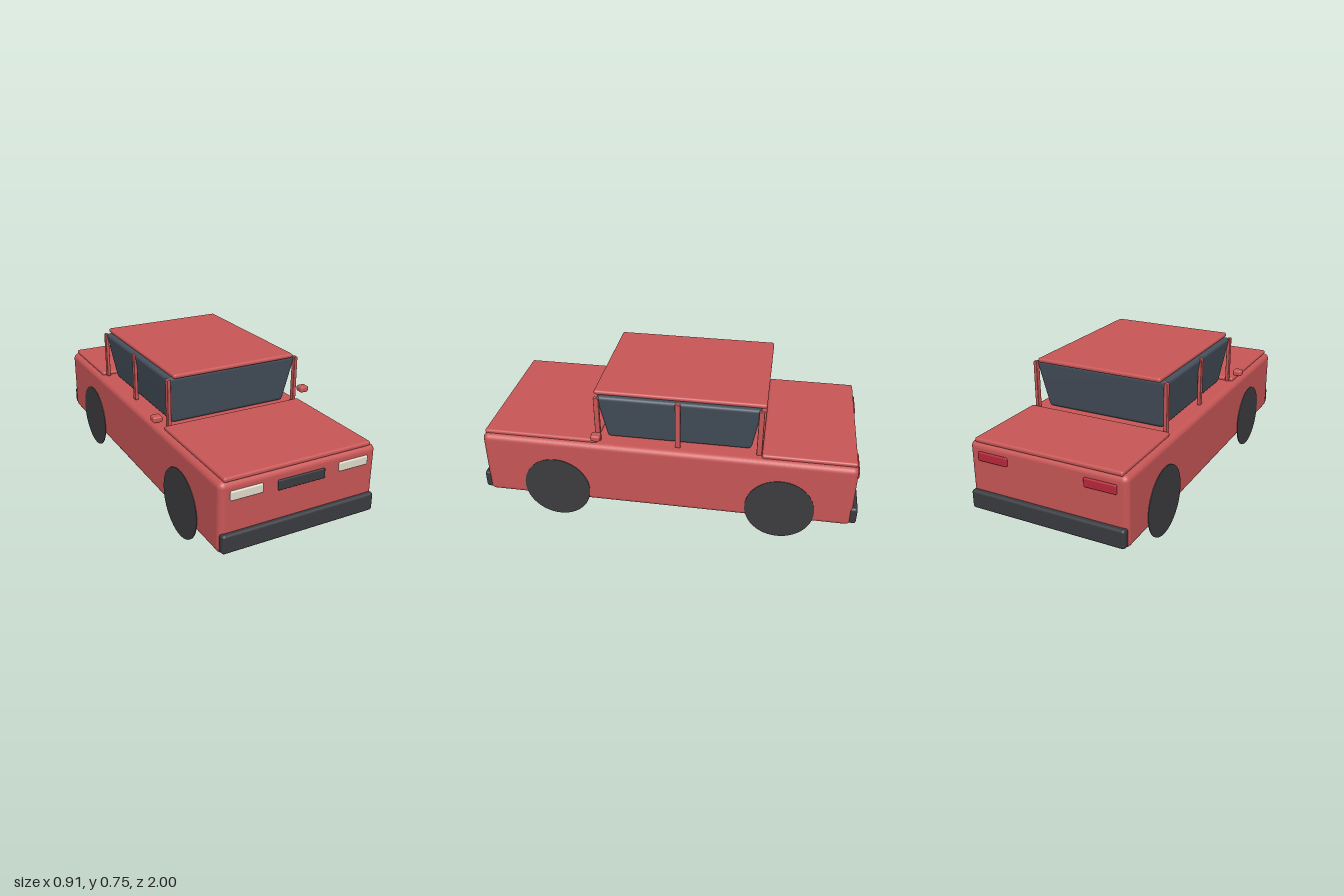
import * as THREE from 'three';
import { RoundedBoxGeometry } from 'three/addons/geometries/RoundedBoxGeometry.js';
import { mergeVertices } from 'three/addons/utils/BufferGeometryUtils.js';

const paint = (color) => new THREE.MeshStandardMaterial({ color });
const red = paint(0xc85656);
const glass = paint(0x46505c);
const dark = paint(0x3a3b40);
const rubber = paint(0x3c3c40);
const cream = paint(0xe0dccb);
const tailRed = paint(0xb8283a);

export function createModel() {
  const car = new THREE.Group();
  car.name = 'car';

  // Rounded block given by its limits on each axis
  function block(name, [x0, x1], [y0, y1], [z0, z1], radius, material) {
    const geometry = new RoundedBoxGeometry(x1 - x0, y1 - y0, z1 - z0, 4, radius);
    const mesh = new THREE.Mesh(geometry, material);
    mesh.position.set((x0 + x1) / 2, (y0 + y1) / 2, (z0 + z1) / 2);
    mesh.name = name;
    car.add(mesh);
    return mesh;
  }

  // Body shell and lids
  block('body', [-0.424, 0.424], [0.113, 0.473], [-0.975, 0.978], 0.03, red);
  block('hood', [-0.397, 0.397], [0.467, 0.492], [0.36, 0.968], 0.011, red);
  block('trunkLid', [-0.397, 0.397], [0.467, 0.492], [-0.968, -0.493], 0.011, red);
  block('roof', [-0.345, 0.345], [0.731, 0.755], [-0.5, 0.375], 0.011, red);

  // Glass cabin, narrowing towards the bottom
  const cabin = block('cabinGlass', [-0.373, 0.373], [0.474, 0.735], [-0.479, 0.36], 0.02, glass);
  cabin.geometry.deleteAttribute('normal');
  cabin.geometry.deleteAttribute('uv');
  cabin.geometry = mergeVertices(cabin.geometry);
  const pos = cabin.geometry.attributes.position;
  for (let i = 0; i < pos.count; i++) {
    const drop = 0.5 - pos.getY(i) / 0.261;
    pos.setX(i, pos.getX(i) * (1 - 0.115 * drop));
    pos.setZ(i, pos.getZ(i) * (1 - 0.105 * drop));
  }
  cabin.geometry.computeVertexNormals();

  // Bumpers and grille
  block('frontBumper', [-0.418, 0.418], [0.127, 0.224], [0.955, 1], 0.014, dark);
  block('rearBumper', [-0.418, 0.418], [0.127, 0.224], [-1, -0.955], 0.014, dark);
  block('grille', [-0.127, 0.127], [0.37, 0.422], [0.965, 0.986], 0.006, dark);

  for (const side of [-1, 1]) {
    const label = side > 0 ? 'left' : 'right';
    const span = (a, b) => (side > 0 ? [a, b] : [-b, -a]);

    // Lights and mirror
    block(label + 'Headlight', span(0.206, 0.372), [0.383, 0.43], [0.965, 0.987], 0.007, cream);
    block(label + 'TailLight', span(0.206, 0.372), [0.383, 0.43], [-0.985, -0.963], 0.007, tailRed);
    block(label + 'Mirror', span(0.408, 0.457), [0.52, 0.553], [0.327, 0.376], 0.01, red);

    // Roof pillars
    [['Front', 0.356], ['Middle', -0.061], ['Rear', -0.478]].forEach(([place, z]) =>
      block(label + place + 'Pillar', span(0.359, 0.378), [0.475, 0.731], [z - 0.014, z + 0.014], 0.004, red));

    // Thin wheel discs on the body sides
    [['Front', 0.587], ['Rear', -0.602]].forEach(([place, z]) => {
      const wheel = new THREE.Mesh(new THREE.CylinderGeometry(0.18, 0.18, 0.004, 48), rubber);
      wheel.rotation.z = Math.PI / 2;
      wheel.position.set(side * 0.425, 0.18, z);
      wheel.name = label + place + 'Wheel';
      car.add(wheel);
    });
  }
  return car;
}
